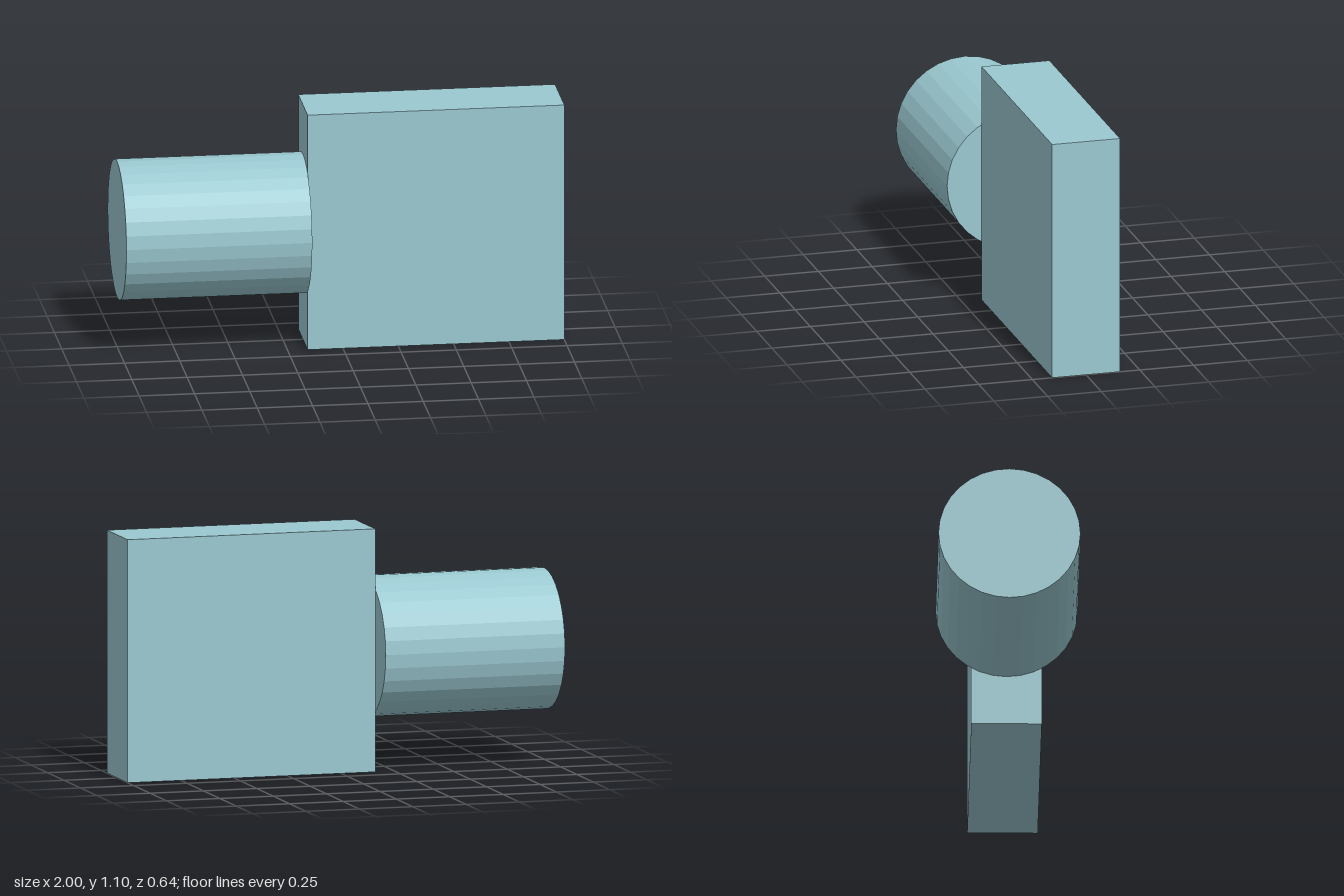
import * as THREE from 'three';

export function createModel() {
  const model = new THREE.Group();
  const paleTeal = new THREE.MeshStandardMaterial({ color: 0x9ac8d0 });
  paleTeal.name = 'paleTeal';
  paleTeal.flatShading = true;

  const centreY = 0.55;
  const joinX = -0.16; // plane where the shaft meets the plate

  // Upright flat plate
  const plate = new THREE.Mesh(new THREE.BoxGeometry(1 - joinX, 2 * centreY, 0.316), paleTeal);
  plate.name = 'plate';
  plate.position.set((1 + joinX) / 2, centreY, 0);

  // Faceted round shaft lying along x, butted against the plate
  const shaftGeometry = new THREE.CylinderGeometry(0.318, 0.318, joinX + 1, 32);
  shaftGeometry.rotateZ(Math.PI / 2);
  const shaft = new THREE.Mesh(shaftGeometry, paleTeal);
  shaft.name = 'shaft';
  shaft.position.set((joinX - 1) / 2, centreY, 0);

  model.add(plate, shaft);
  return model;
}
